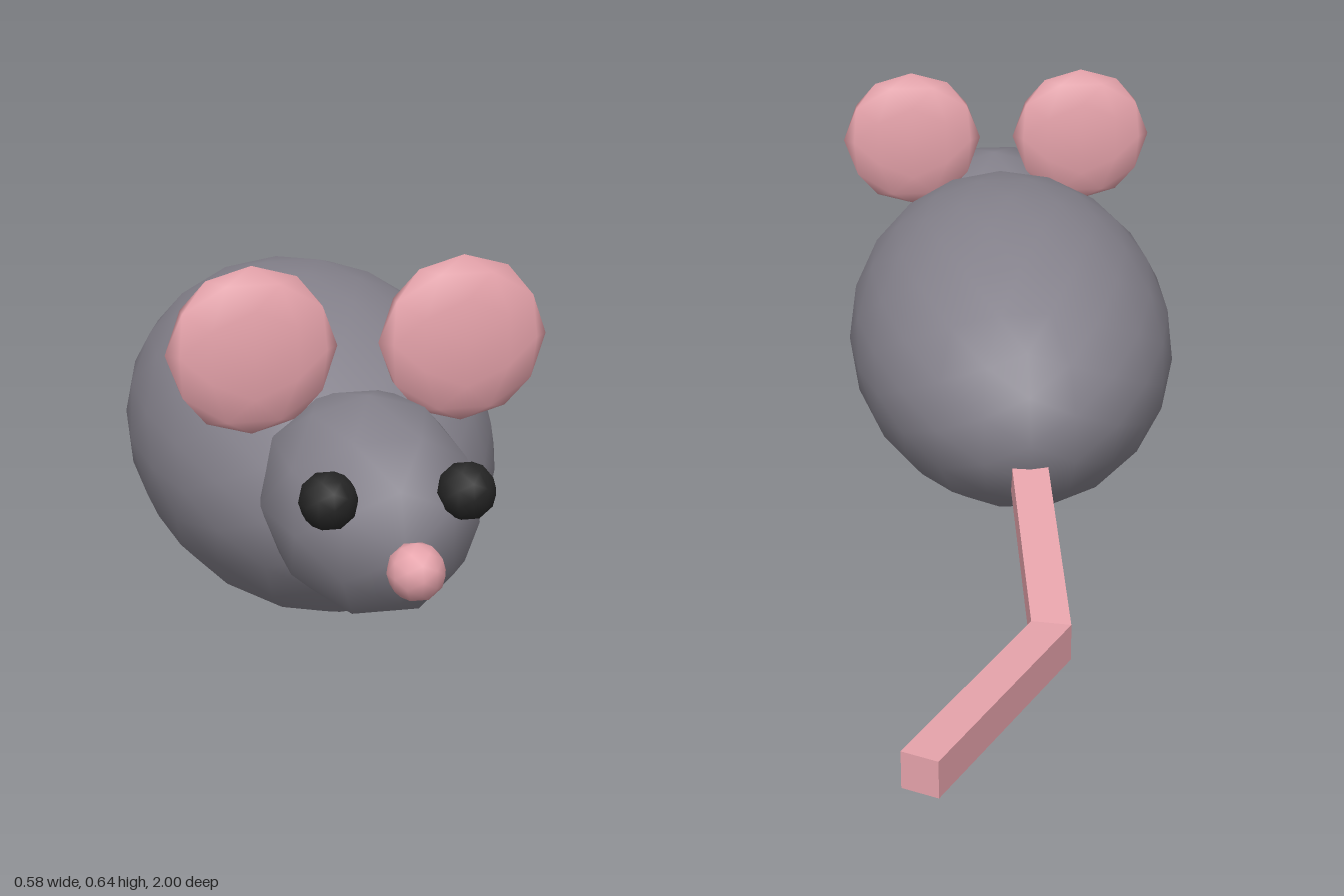
import * as THREE from 'three';

const material = (name, color) => {
  const m = new THREE.MeshStandardMaterial({ color });
  m.name = name;
  return m;
};

export function createModel() {
  const group = new THREE.Group();
  group.name = 'mouse';
  const fur = material('grey fur', 0x85828c);
  const pink = material('pink skin', 0xe6a3ab);
  const black = material('eye black', 0x252525);

  // Smooth low-poly ellipsoid
  const blob = (name, mat, detail, position, radii) => {
    const geometry = new THREE.IcosahedronGeometry(1, detail);
    geometry.scale(...radii);
    const mesh = new THREE.Mesh(geometry, mat);
    mesh.name = name;
    mesh.position.set(...position);
    group.add(mesh);
  };

  blob('body', fur, 3, [0, 0.26, 0.24], [0.29, 0.26, 0.48]);
  blob('head', fur, 1, [0, 0.296, 0.67], [0.161, 0.161, 0.235]);
  blob('nose', pink, 1, [0, 0.297, 0.958], [0.042, 0.042, 0.042]);

  // Mirrored ears and eyes
  for (const [side, s] of [['left', 1], ['right', -1]]) {
    blob(side + 'Ear', pink, 1, [0.16 * s, 0.513, 0.598], [0.129, 0.129, 0.036]);
    blob(side + 'Eye', black, 1, [0.1 * s, 0.368, 0.85], [0.043, 0.043, 0.043]);
  }

  // Tail: square bar bent through three rings, with a mitred corner
  const rings = [
    { centre: [0, 0.195, -0.15], across: [1, 0] },
    { centre: [0, 0.117, -0.625], across: [1, 0.276] },
    { centre: [0.215, 0.117, -0.984], across: [0.859, 0.513] },
  ];
  const bar = new THREE.BoxGeometry(0.06, 0.06, 1, 1, 1, 2);
  const p = bar.attributes.position;
  for (let i = 0; i < p.count; i++) {
    const { centre, across } = rings[Math.round((0.5 - p.getZ(i)) * 2)];
    const x = p.getX(i);
    p.setXYZ(i, centre[0] + x * across[0], centre[1] + p.getY(i), centre[2] + x * across[1]);
  }
  const tailGeometry = bar.toNonIndexed();
  tailGeometry.computeVertexNormals();
  const tail = new THREE.Mesh(tailGeometry, pink);
  tail.name = 'tail';
  group.add(tail);

  return group;
}
